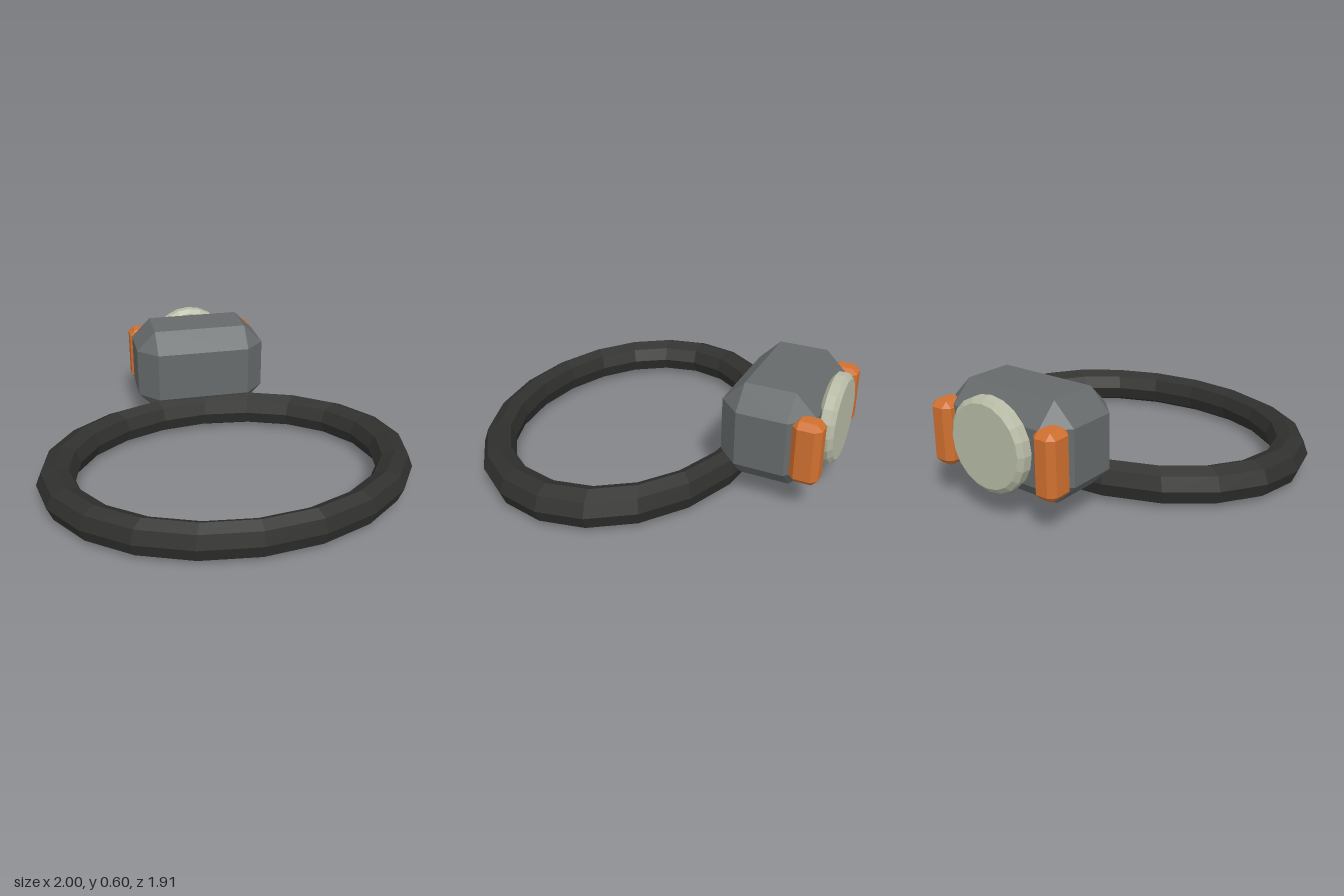
import * as THREE from 'three';
import { ConvexGeometry } from 'three/addons/geometries/ConvexGeometry.js';

const mat = (color) => new THREE.MeshStandardMaterial({ color, flatShading: true });

// Box with every edge and corner cut by a flat bevel
function chamferBox(w, h, d, b) {
  const points = [];
  for (const sx of [-1, 1]) for (const sy of [-1, 1]) for (const sz of [-1, 1]) {
    const x = w / 2, y = h / 2, z = d / 2;
    points.push(
      new THREE.Vector3(sx * x, sy * (y - b), sz * (z - b)),
      new THREE.Vector3(sx * (x - b), sy * y, sz * (z - b)),
      new THREE.Vector3(sx * (x - b), sy * (y - b), sz * z)
    );
  }
  return new ConvexGeometry(points);
}

export function createModel() {
  const group = new THREE.Group();
  const add = (name, geometry, material, x, y, z) => {
    const mesh = new THREE.Mesh(geometry, material);
    mesh.name = name;
    mesh.position.set(x, y, z);
    group.add(mesh);
  };

  // Oval band lying flat
  const band = new THREE.TorusGeometry(0.9, 0.1, 8, 20);
  band.rotateX(Math.PI / 2);
  band.scale(1, 1, 0.75);
  add('band', band, mat(0x30302e), 0, 0.1, 0.205);

  // Bevelled housing at the back of the band
  add('housing', chamferBox(0.755, 0.5, 0.47, 0.11), mat(0x666a6a), 0, 0.35, -0.655);

  // Round dial with a bevelled rim, facing backwards
  const profile = [[0, 0], [0.205, 0], [0.23, 0.02], [0.23, 0.065], [0.205, 0.085], [0, 0.085]];
  const dial = new THREE.LatheGeometry(profile.map(([r, y]) => new THREE.Vector2(r, y)), 20);
  dial.rotateX(-Math.PI / 2);
  add('dial', dial, mat(0xb8bca6), 0, 0.37, -0.875);

  // Upright side bars, mirrored
  const bar = chamferBox(0.125, 0.325, 0.143, 0.03);
  const barMaterial = mat(0xd07030);
  for (const [name, side] of [['leftBar', 1], ['rightBar', -1]]) {
    add(name, bar, barMaterial, side * 0.324, 0.347, -0.871);
  }

  return group;
}
